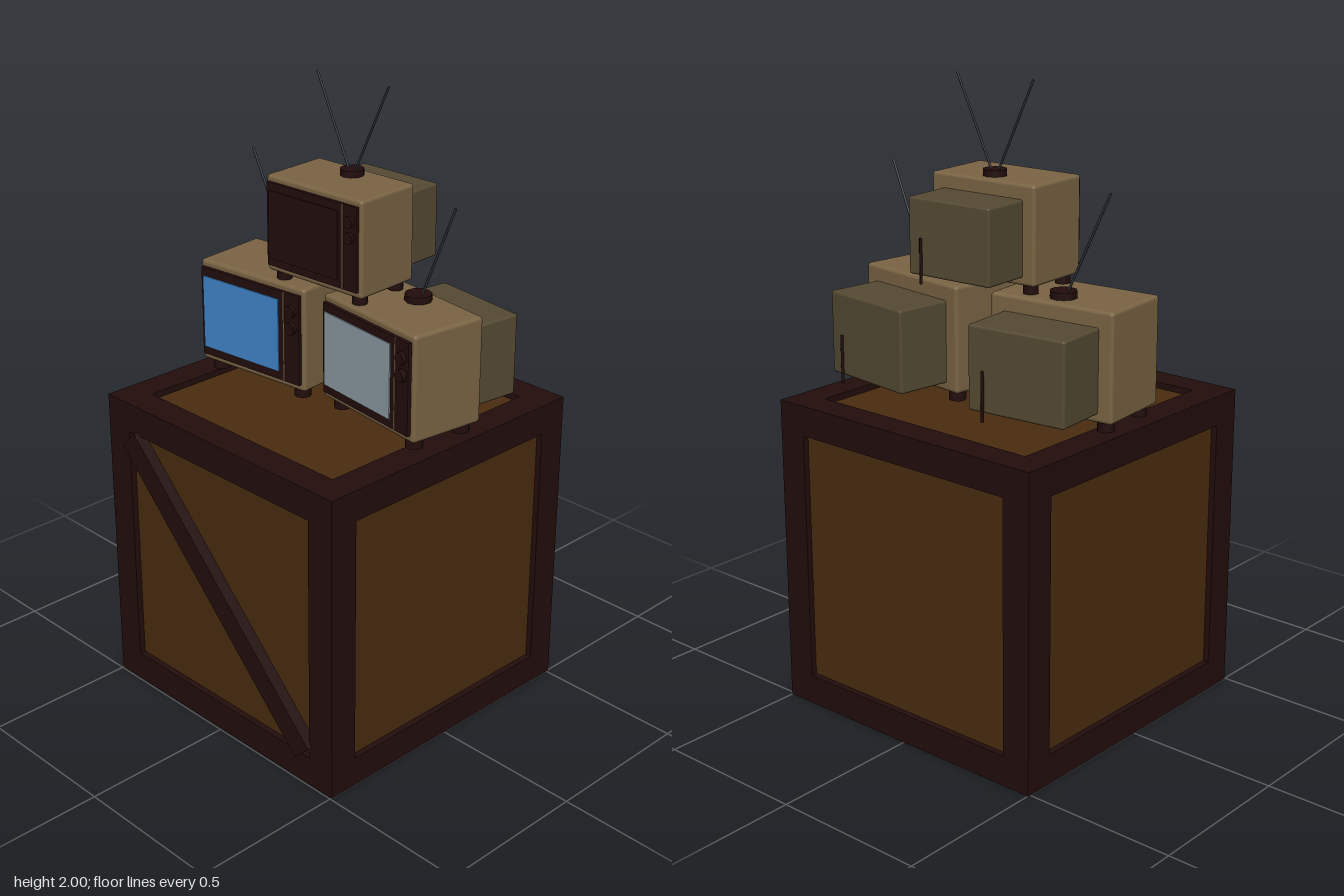
import * as THREE from 'three';
import { RoundedBoxGeometry } from 'three/addons/geometries/RoundedBoxGeometry.js';

const mat = (name, color) => {
  const m = new THREE.MeshStandardMaterial({ color });
  m.name = name;
  return m;
};

export function createModel() {
  const darkWood = mat('dark brown', 0x220d0c);
  const panelWood = mat('panel brown', 0x4a2c0f);
  const caseTan = mat('case tan', 0x7a6444);
  const backOlive = mat('back olive', 0x554a33);
  const blue = mat('blue screen', 0x4084c9);
  const grey = mat('grey screen', 0x8f9fa6);
  const metal = mat('antenna metal', 0x2e333a);

  const add = (parent, name, geometry, material, x = 0, y = 0, z = 0) => {
    const m = new THREE.Mesh(geometry, material);
    m.name = name;
    m.position.set(x, y, z);
    parent.add(m);
    return m;
  };
  const box = (w, h, d) => new THREE.BoxGeometry(w, h, d);
  const disc = (r, h, sides = 10) => new THREE.CylinderGeometry(r, r, h, sides).toNonIndexed();

  const model = new THREE.Group();
  model.name = 'televisionsOnCrate';

  // Crate: recessed panels inside a frame of beams, with a diagonal brace in front
  const crate = new THREE.Group();
  crate.name = 'crate';
  crate.position.set(0, 0.5025, -0.0075);
  model.add(crate);
  const S = 1.004, B = 0.097, E = (S - B) / 2, L = S - 2 * B;
  add(crate, 'cratePanels', box(S - 0.04, S - 0.04, S - 0.04), panelWood);
  for (const a of [-E, E]) {
    for (const b of [-E, E]) {
      add(crate, 'cratePost', box(B, S, B), darkWood, a, 0, b);
      add(crate, 'crateSideRail', box(B, B, L), darkWood, a, b, 0);
      add(crate, 'crateCrossRail', box(L, B, B), darkWood, 0, a, b);
    }
  }
  const brace = add(crate, 'diagonalBrace', box(1.1, 0.08, 0.04), darkWood, 0, 0, 0.499);
  brace.rotation.z = -Math.PI / 4;

  // Thin rod between two points
  const rod = (parent, name, from, to, r) => {
    const a = new THREE.Vector3(...from), b = new THREE.Vector3(...to);
    const dir = b.clone().sub(a);
    const m = add(parent, name, new THREE.CylinderGeometry(r, r, dir.length(), 6), metal);
    m.position.copy(a).add(b).multiplyScalar(0.5);
    m.quaternion.setFromUnitVectors(new THREE.Vector3(0, 1, 0), dir.normalize());
  };

  // One television, standing on y = 0; rods lists the sides that carry an antenna rod
  const television = (name, screenMaterial, rods) => {
    const tv = new THREE.Group();
    tv.name = name;
    model.add(tv);
    add(tv, 'case', new RoundedBoxGeometry(0.432, 0.34, 0.26, 2, 0.012), caseTan, 0, 0.2, 0);
    add(tv, 'backHousing', new RoundedBoxGeometry(0.337, 0.262, 0.2, 2, 0.008), backOlive, 0, 0.188, -0.209);
    for (const x of [-0.173, 0.173]) {
      for (const z of [-0.09, 0.09]) add(tv, 'foot', disc(0.027, 0.034), darkWood, x, 0.016, z);
    }

    // Front face
    add(tv, 'frontPanel', box(0.405, 0.295, 0.02), darkWood, 0, 0.2015, 0.132);
    add(tv, 'screen', box(0.315, 0.24, 0.006), screenMaterial, -0.036, 0.2015, 0.143);
    add(tv, 'dividerStrip', box(0.004, 0.295, 0.004), caseTan, 0.142, 0.2015, 0.142);
    for (const y of [0.295, 0.24]) {
      add(tv, 'knob', disc(0.02, 0.014, 12), darkWood, 0.174, y, 0.148).rotation.x = Math.PI / 2;
    }

    // Antenna and rear cable
    add(tv, 'antennaBase', disc(0.042, 0.022), darkWood, 0, 0.381, -0.06);
    for (const s of rods) {
      rod(tv, 'antennaRod', [s * 0.014, 0.385, -0.06], [s * 0.158, 0.698, -0.06], 0.004);
    }
    add(tv, 'rearCable', disc(0.005, 0.155, 6), darkWood, 0.113, 0.108, -0.314);
    return tv;
  };

  const right = television('lowerRightTelevision', blue, [-1]);
  right.position.set(-0.257, 1.005, -0.012);
  right.rotation.y = 0.1;

  const left = television('lowerLeftTelevision', grey, [1]);
  left.position.set(0.256, 1.005, -0.035);
  left.rotation.y = -0.12;

  const top = television('topTelevision', darkWood, [-1, 1]);
  top.position.set(0, 1.376, -0.025);
  top.rotation.y = 0.055;
  top.scale.setScalar(0.893);

  return model;
}
